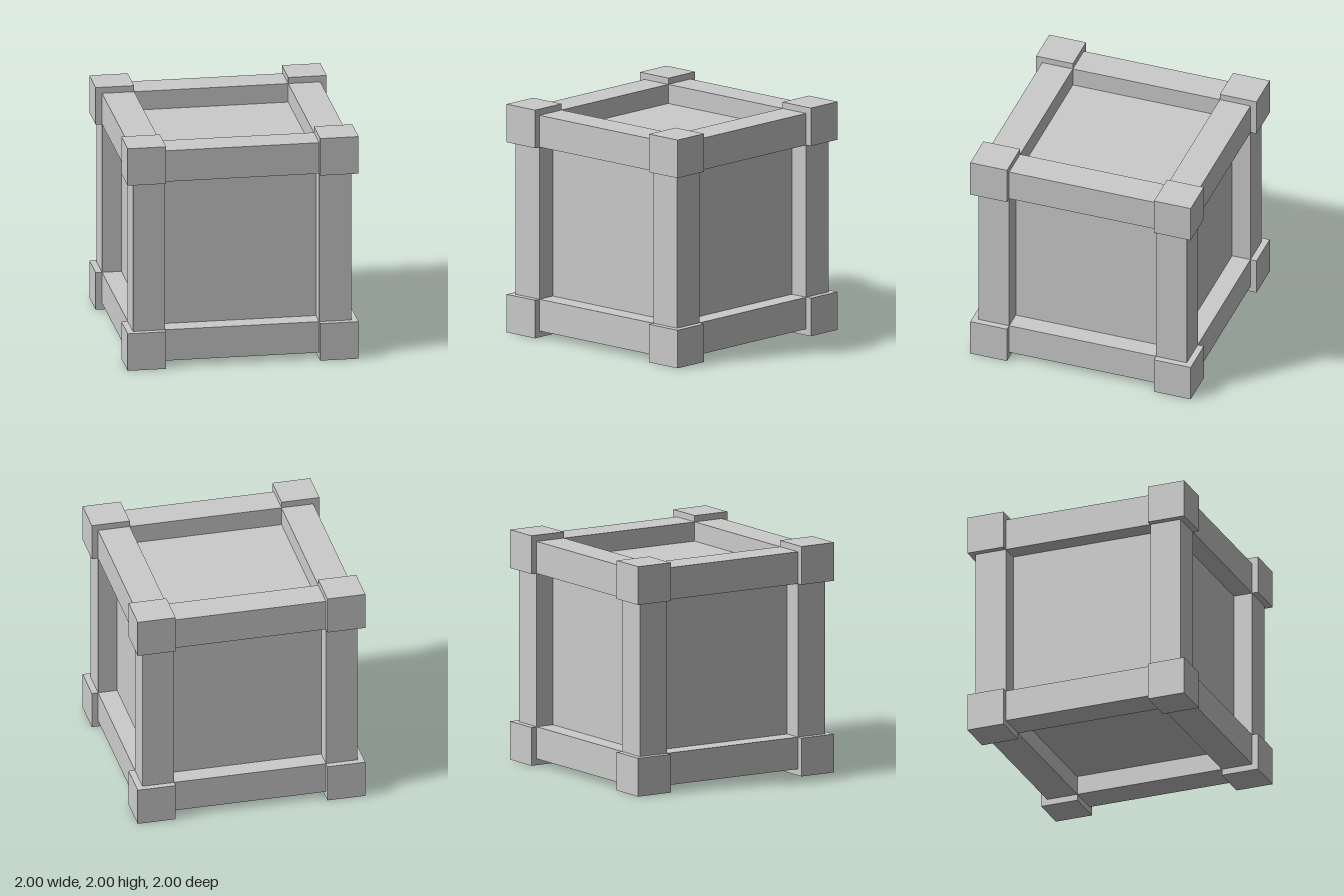
import * as THREE from 'three';

const CORNER = 1 / 3;        // corner block size
const INNER = 1 - CORNER;    // inner edge of the frame
const OUTER = 0.945;         // outer face of the beams
const PANEL = 0.778;         // face of the recessed panels

export function createModel() {
  const model = new THREE.Group();
  const material = new THREE.MeshStandardMaterial({ color: 0xcccccc, flatShading: true });

  const addBox = (name, size, position) => {
    const mesh = new THREE.Mesh(new THREE.BoxGeometry(...size), material);
    mesh.name = name;
    mesh.position.set(position[0], position[1] + 1, position[2]);
    model.add(mesh);
  };

  // Recessed body whose faces form the six panels
  addBox('panelBody', [2 * PANEL, 2 * PANEL, 2 * PANEL], [0, 0, 0]);

  // Corner blocks
  const c = 1 - CORNER / 2;
  for (const x of [-c, c])
    for (const y of [-c, c])
      for (const z of [-c, c]) addBox('cornerBlock', [CORNER, CORNER, CORNER], [x, y, z]);

  // Twelve edge beams, four along each axis
  const width = OUTER - INNER;
  const b = (OUTER + INNER) / 2;
  ['crossBeam', 'post', 'sideBeam'].forEach((name, axis) => {
    for (const u of [-b, b])
      for (const v of [-b, b]) {
        const size = [width, width, width];
        const position = [0, 0, 0];
        size[axis] = 2 * INNER;
        position[(axis + 1) % 3] = u;
        position[(axis + 2) % 3] = v;
        addBox(name, size, position);
      }
  });

  return model;
}
